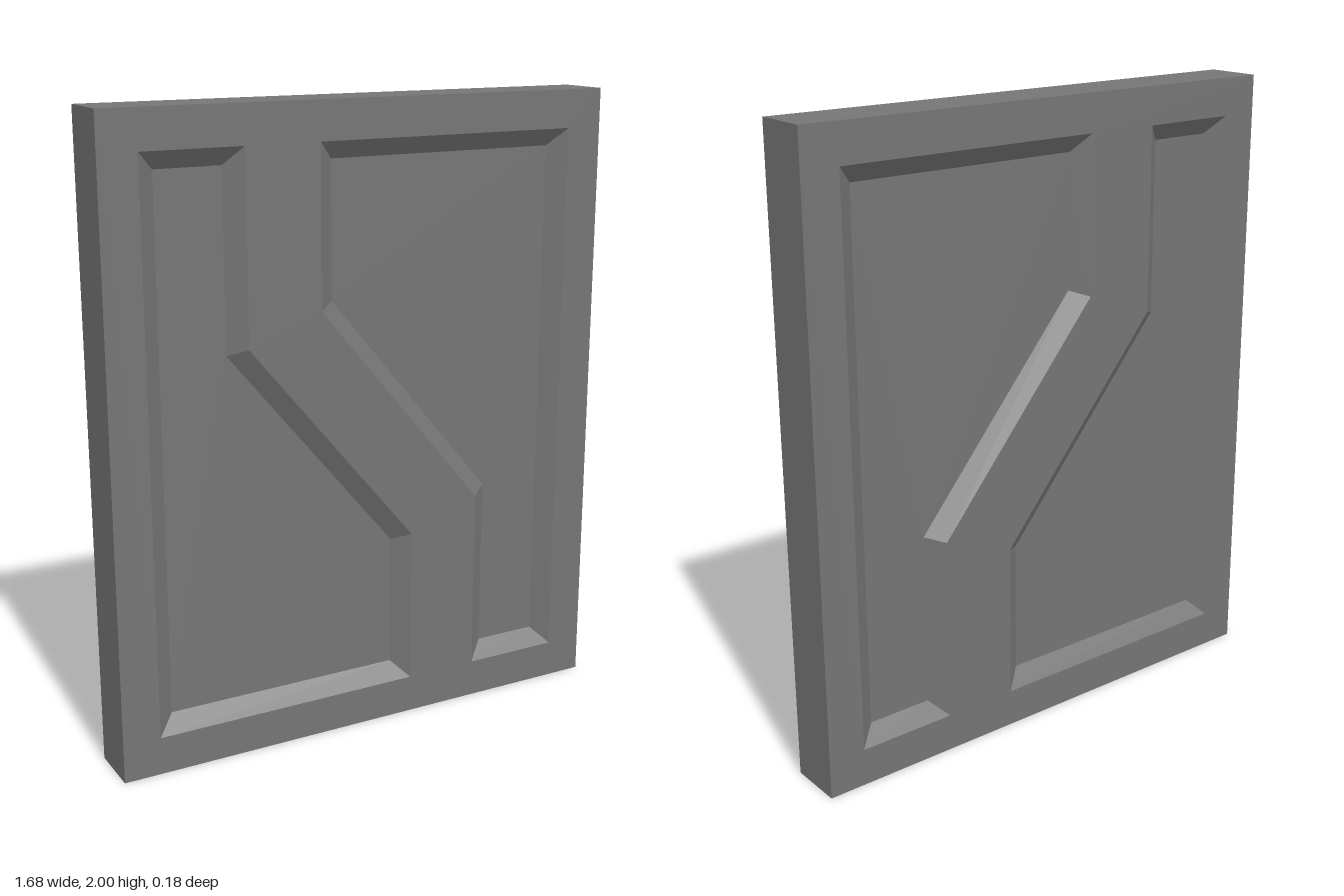
import * as THREE from 'three';

const W = 0.84, H = 2, Z = 0.09;        // half width, height, half thickness
const BEVEL = 0.055, DEPTH = 0.042;     // recess wall width and depth

// Counter-clockwise outline of the recess at the lower left; the other is its half-turn copy
const lower = [[-0.72, 0.12], [0.16, 0.12], [0.16, 0.62], [-0.4, 1.29], [-0.4, 1.88], [-0.72, 1.88]]
  .map(([x, y]) => new THREE.Vector2(x, y));
const upper = lower.map(p => new THREE.Vector2(-p.x, H - p.y));
const border = [[-W, 0], [W, 0], [W, H], [-W, H]].map(([x, y]) => new THREE.Vector2(x, y));

// Move every edge of a counter-clockwise loop inwards by d
function inset(loop, d) {
  const n = loop.length;
  const normal = (a, b) => new THREE.Vector2(a.y - b.y, b.x - a.x).normalize();
  return loop.map((p, i) => {
    const n1 = normal(loop[(i + n - 1) % n], p), n2 = normal(p, loop[(i + 1) % n]);
    const k = d / (1 + n1.dot(n2));
    return p.clone().addScaledVector(n1.add(n2), k);
  });
}

// Flat-shaded strip joining loop a at height za to loop b at height zb
function strip(a, za, b, zb) {
  const pos = [];
  a.forEach((p, i) => {
    const j = (i + 1) % a.length;
    const c = [[p.x, p.y, za], [a[j].x, a[j].y, za], [b[j].x, b[j].y, zb], [b[i].x, b[i].y, zb]];
    for (const k of [0, 1, 2, 0, 2, 3]) pos.push(...c[k]);
  });
  const g = new THREE.BufferGeometry();
  g.setAttribute('position', new THREE.Float32BufferAttribute(pos, 3));
  g.computeVertexNormals();
  return g;
}

export function createModel() {
  const model = new THREE.Group();
  model.name = 'wallPanel';
  const grey = new THREE.MeshStandardMaterial({ color: 0x757575 });
  grey.name = 'panelGrey';

  const add = (parent, name, geometry) => {
    const mesh = new THREE.Mesh(geometry, grey);
    mesh.name = name;
    parent.add(mesh);
    return mesh;
  };

  // One broad side: raised frame, sloping recess walls and recess floors
  function broadSide(name, mirrored) {
    const side = new THREE.Group();
    side.name = name;
    const fit = loop => mirrored ? loop.map(p => new THREE.Vector2(-p.x, p.y)).reverse() : loop;
    const face = new THREE.Shape(border);
    for (const [label, outline] of [['lowerRecess', lower], ['upperRecess', upper]]) {
      const outer = fit(outline), inner = inset(outer, BEVEL);
      face.holes.push(new THREE.Path(outer));
      add(side, label + 'Walls', strip(outer, Z, inner, Z - DEPTH));
      add(side, label + 'Floor', new THREE.ShapeGeometry(new THREE.Shape(inner))).position.z = Z - DEPTH;
    }
    add(side, 'raisedFrame', new THREE.ShapeGeometry(face)).position.z = Z;
    model.add(side);
    return side;
  }

  broadSide('frontSide', false);
  broadSide('backSide', true).rotation.y = Math.PI;

  // Outer edge all around
  const rim = [...border].reverse();
  add(model, 'outerEdge', strip(rim, Z, rim, -Z));
  return model;
}
